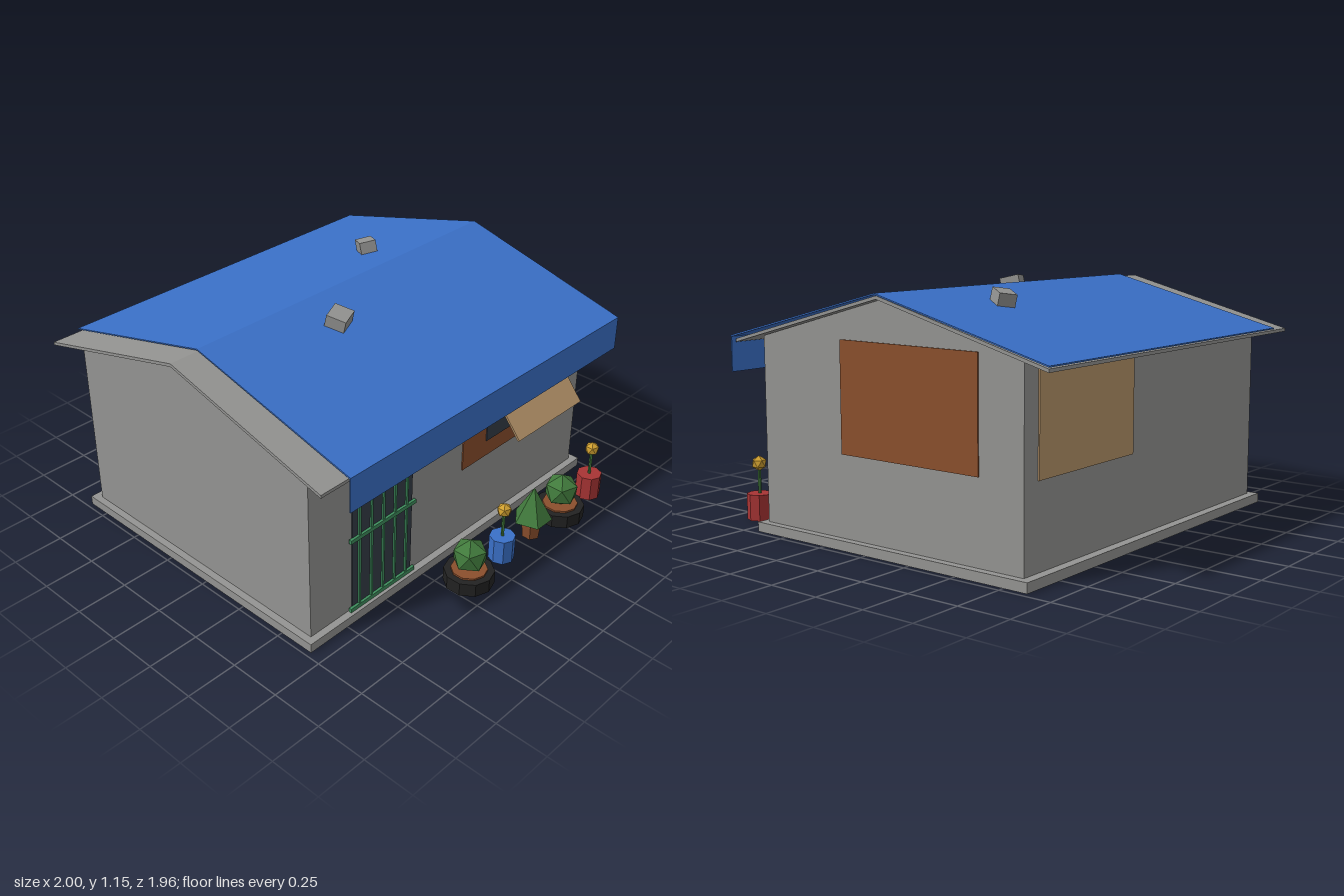
import * as THREE from 'three';

const mat = (name, color) => {
  const m = new THREE.MeshStandardMaterial({ color });
  m.name = name;
  return m;
};

export function createModel() {
  const model = new THREE.Group();
  model.name = 'house';
  const grey = mat('concrete grey', 0x949492);
  const blue = mat('tarp blue', 0x3a70c8);
  const brown = mat('rust brown', 0x8b4f2d);
  const tan = mat('plywood tan', 0xb8956a);
  const dark = mat('dark opening', 0x363d48);
  const barGreen = mat('gate green', 0x3f8f5e);
  const leaf = mat('leaf green', 0x417a3c);
  const black = mat('tyre black', 0x222222);
  const gold = mat('flower gold', 0xd0a030);
  const red = mat('pot red', 0xa83434);

  // Adds a faceted mesh
  function add(parent, name, geometry, material, x = 0, y = 0, z = 0) {
    const g = geometry.index ? geometry.toNonIndexed() : geometry;
    g.computeVertexNormals();
    const mesh = new THREE.Mesh(g, material);
    mesh.name = name;
    mesh.position.set(x, y, z);
    parent.add(mesh);
    return mesh;
  }

  // Box given by its limits on each axis
  const box = (parent, name, m, x0, x1, y0, y1, z0, z1) =>
    add(parent, name, new THREE.BoxGeometry(x1 - x0, y1 - y0, z1 - z0), m,
      (x0 + x1) / 2, (y0 + y1) / 2, (z0 + z1) / 2);

  // Side profile of [z, y] points run along x
  function prism(name, m, points, x0, x1) {
    const shape = new THREE.Shape(points.map(([z, y]) => new THREE.Vector2(z, y)));
    const g = new THREE.ExtrudeGeometry(shape, { depth: x1 - x0, bevelEnabled: false });
    g.rotateY(-Math.PI / 2);
    return add(model, name, g, m, x1, 0, 0);
  }

  // Slab, walls and roof
  box(model, 'baseSlab', grey, -0.975, 0.972, 0, 0.045, -0.868, 0.68);
  prism('walls', grey, [[-0.825, 0.045], [0.645, 0.045], [0.645, 0.906], [-0.095, 1.104], [-0.825, 0.908]], -0.94, 0.936);
  prism('roof', grey, [[0.78, 0.872], [0.78, 0.887], [-0.098, 1.12], [-0.975, 0.887], [-0.975, 0.872], [-0.098, 1.105]], -1, 0.985);

  // Tarp draped over the roof, with a flap hanging at the front
  prism('tarp', blue, [[0.8, 0.735], [0.8, 0.903], [-0.098, 1.131], [-0.985, 0.9],
    [-0.985, 0.894], [-0.098, 1.125], [0.794, 0.897], [0.794, 0.735]], -0.855, 0.997);

  // Patches on the walls
  box(model, 'sidePatch', brown, 0.935, 0.942, 0.42, 0.92, -0.6, 0.16);
  box(model, 'frontPatch', brown, 0.04, 0.58, 0.42, 0.9, 0.644, 0.651);
  box(model, 'backPatch', tan, 0.16, 0.845, 0.42, 0.9, -0.832, -0.824);

  // Window with its propped-up shutter
  box(model, 'windowOpening', dark, 0.205, 0.665, 0.505, 0.82, 0.648, 0.656);
  const shutter = add(model, 'shutter', new THREE.BoxGeometry(0.475, 0.3, 0.01), tan, 0.435, 0.706, 0.745);
  shutter.rotation.x = -Math.atan2(0.19, 0.23);

  // Door with a barred gate
  const gate = new THREE.Group();
  gate.name = 'gate';
  model.add(gate);
  box(gate, 'doorOpening', dark, -0.69, -0.31, 0.045, 0.86, 0.644, 0.652);
  for (let i = 0; i < 5; i++) {
    box(gate, 'gateBar', barGreen, -0.656 + i * 0.075, -0.644 + i * 0.075, 0.045, 0.86, 0.65, 0.66);
  }
  for (const y of [0.055, 0.43, 0.805]) {
    box(gate, 'gateRail', barGreen, -0.71, -0.295, y - 0.01, y + 0.01, 0.65, 0.664);
  }

  // Loose blocks weighing down the tarp
  const slope = 0.253;
  const block1 = add(model, 'roofBlock', new THREE.BoxGeometry(0.105, 0.06, 0.095), grey, -0.21, 1.108, 0.112);
  block1.rotation.set(slope, 0.4, 0);
  const block2 = add(model, 'roofBlock', new THREE.BoxGeometry(0.082, 0.06, 0.1), grey, 0.455, 1.094, -0.35);
  block2.rotation.set(-slope, -0.55, 0);

  // Row of plants along the front
  function plant(name, x) {
    const g = new THREE.Group();
    g.name = name;
    g.position.set(x, 0, 0.86);
    model.add(g);
    return g;
  }
  const ball = (r) => new THREE.IcosahedronGeometry(r, 0).rotateZ(-Math.atan(2 / (1 + Math.sqrt(5))));
  const cyl = (top, bottom, h, n) => new THREE.CylinderGeometry(top, bottom, h, n);

  for (const x of [-0.14, 0.56]) {
    const g = plant('tyrePlanter', x);
    add(g, 'tyre', cyl(0.118, 0.118, 0.066, 10), black, 0, 0.033, 0);
    add(g, 'soil', cyl(0.085, 0.085, 0.04, 10), brown, 0, 0.055, 0);
    add(g, 'bush', ball(0.087), leaf, 0, 0.147, 0);
  }
  for (const [x, m] of [[0.1, blue], [0.8, red]]) {
    const g = plant('flowerPot', x);
    add(g, 'pot', cyl(0.062, 0.062, 0.125, 8), m, 0, 0.0625, 0);
    add(g, 'stem', cyl(0.008, 0.008, 0.13, 5), leaf, 0, 0.185, 0);
    add(g, 'flower', ball(0.037), gold, 0, 0.27, 0);
  }
  const shrub = plant('coneShrub', 0.33);
  add(shrub, 'pot', cyl(0.055, 0.043, 0.105, 6), brown, 0, 0.0525, 0);
  add(shrub, 'shrub', new THREE.ConeGeometry(0.095, 0.175, 5), leaf, 0, 0.188, 0).rotation.y = Math.PI;

  return model;
}
